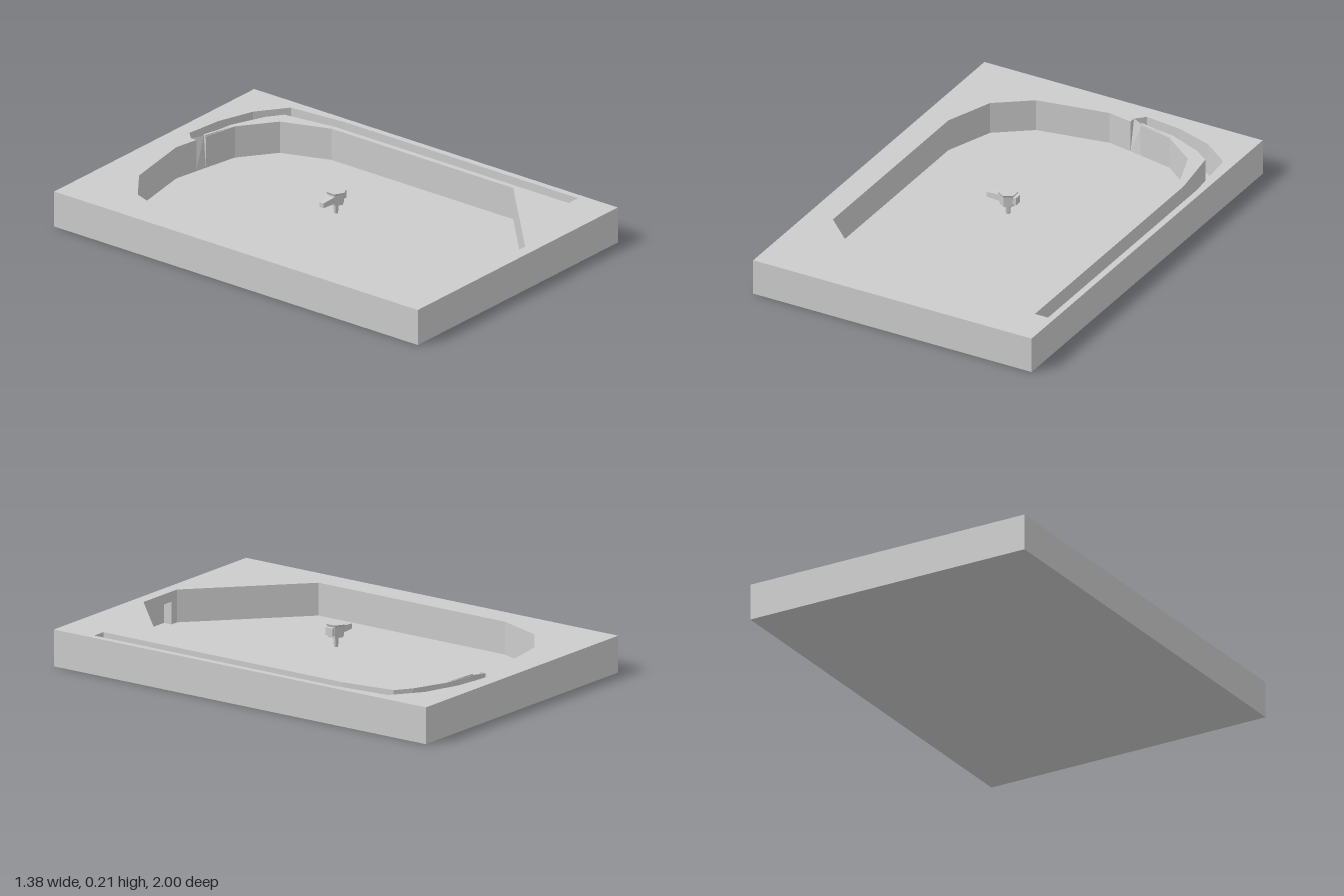
import * as THREE from 'three';

const W = 1.38, L = 2, H = 0.165, FLOOR = 0.018, NICHE_TOP = 0.12;

// Outline of the playfield joined to the launch lane, as [x, z]
const field = [
  [0.12, 0.945], [0.57, 0.52], [0.57, -0.48], [0.49, -0.7], [0.33, -0.82], [0.17, -0.85],
  [0.17, -0.865], [0.33, -0.845], [0.49, -0.78], [0.56, -0.73], [0.595, -0.48], [0.595, 0.805],
  [0.66, 0.805], [0.66, -0.48], [0.635, -0.755], [0.5, -0.855], [0.33, -0.91], [0.155, -0.93],
  [0.115, -0.89], [0.115, -0.86], [0, -0.88], [-0.33, -0.82], [-0.49, -0.7], [-0.57, -0.48],
  [-0.57, 0.52], [-0.12, 0.945],
];
// Drain niche cut into the front wall
const niche = [[-0.08, 0.945], [-0.08, 0.985], [0.08, 0.985], [0.08, 0.945]];

export function createModel() {
  const group = new THREE.Group();
  const mat = new THREE.MeshStandardMaterial({ color: 0xcccccc, flatShading: true });
  const thin = new THREE.MeshStandardMaterial({ color: 0xcccccc, flatShading: true, side: THREE.DoubleSide });

  const add = (name, geo, x = 0, y = 0, z = 0, parent = group, material = mat) => {
    const mesh = new THREE.Mesh(geo, material);
    mesh.name = name;
    mesh.position.set(x, y, z);
    parent.add(mesh);
    return mesh;
  };
  const toVec = ([x, z]) => new THREE.Vector2(x, -z);

  // A layer of the cabinet with the field cut through it
  const layer = (name, hole, y0, y1) => {
    const shape = new THREE.Shape([[-W / 2, 1], [W / 2, 1], [W / 2, -1], [-W / 2, -1]].map(toVec));
    shape.holes.push(new THREE.Path(hole.map(toVec)));
    const geo = new THREE.ExtrudeGeometry(shape, { depth: y1 - y0, bevelEnabled: false });
    geo.rotateX(-Math.PI / 2);
    add(name, geo, 0, y0, 0);
  };

  add('floor', new THREE.BoxGeometry(W, FLOOR, L), 0, FLOOR / 2, 0);
  layer('lowerWalls', [...field, ...niche], FLOOR, NICHE_TOP);
  layer('upperWalls', field, NICHE_TOP, H);

  // Leaning gate across the lane exit
  const gate = new THREE.BufferGeometry();
  gate.setAttribute('position', new THREE.Float32BufferAttribute([
    0.115, FLOOR, -0.86, 0.168, FLOOR, -0.85, 0.17, H, -0.863, 0.115, H, -0.89,
  ], 3));
  gate.setIndex([0, 1, 2, 0, 2, 3]);
  gate.computeVertexNormals();
  add('laneGate', gate, 0, 0, 0, group, thin);

  // Slightly raised tip on the lane divider
  const tipShape = new THREE.Shape([[0, -0.01], [0.16, -0.01], [0.16, 0], [0, 0.006]]
    .map(([x, y]) => new THREE.Vector2(x, y)));
  const tip = add('dividerTip', new THREE.ExtrudeGeometry(tipShape, { depth: 0.012, bevelEnabled: false }),
    0.17, H, -0.864);
  tip.rotation.y = -0.16;

  // Small hexagonal piece hovering over the centre of the field
  const piece = new THREE.Group();
  piece.name = 'centrePiece';
  group.add(piece);
  add('body', new THREE.CylinderGeometry(0.04, 0.037, 0.05, 6), 0, 0.175, 0, piece);
  add('cap', new THREE.CylinderGeometry(0.046, 0.041, 0.01, 6), 0, 0.204, 0, piece);
  add('stem', new THREE.CylinderGeometry(0.014, 0.01, 0.05, 6), 0, 0.128, 0, piece);
  add('backBlock', new THREE.BoxGeometry(0.03, 0.035, 0.036), 0.035, 0.18, 0, piece);

  // Arm tapering away from the body
  const arm = new THREE.BoxGeometry(0.075, 0.032, 0.04);
  const p = arm.attributes.position;
  for (let i = 0; i < p.count; i++) {
    if (p.getX(i) < 0) {
      p.setZ(i, p.getZ(i) * 0.55);
      if (p.getY(i) > 0) p.setY(i, 0.006);
    }
  }
  arm.computeVertexNormals();
  add('arm', arm, -0.0625, 0.178, 0, piece);

  return group;
}
